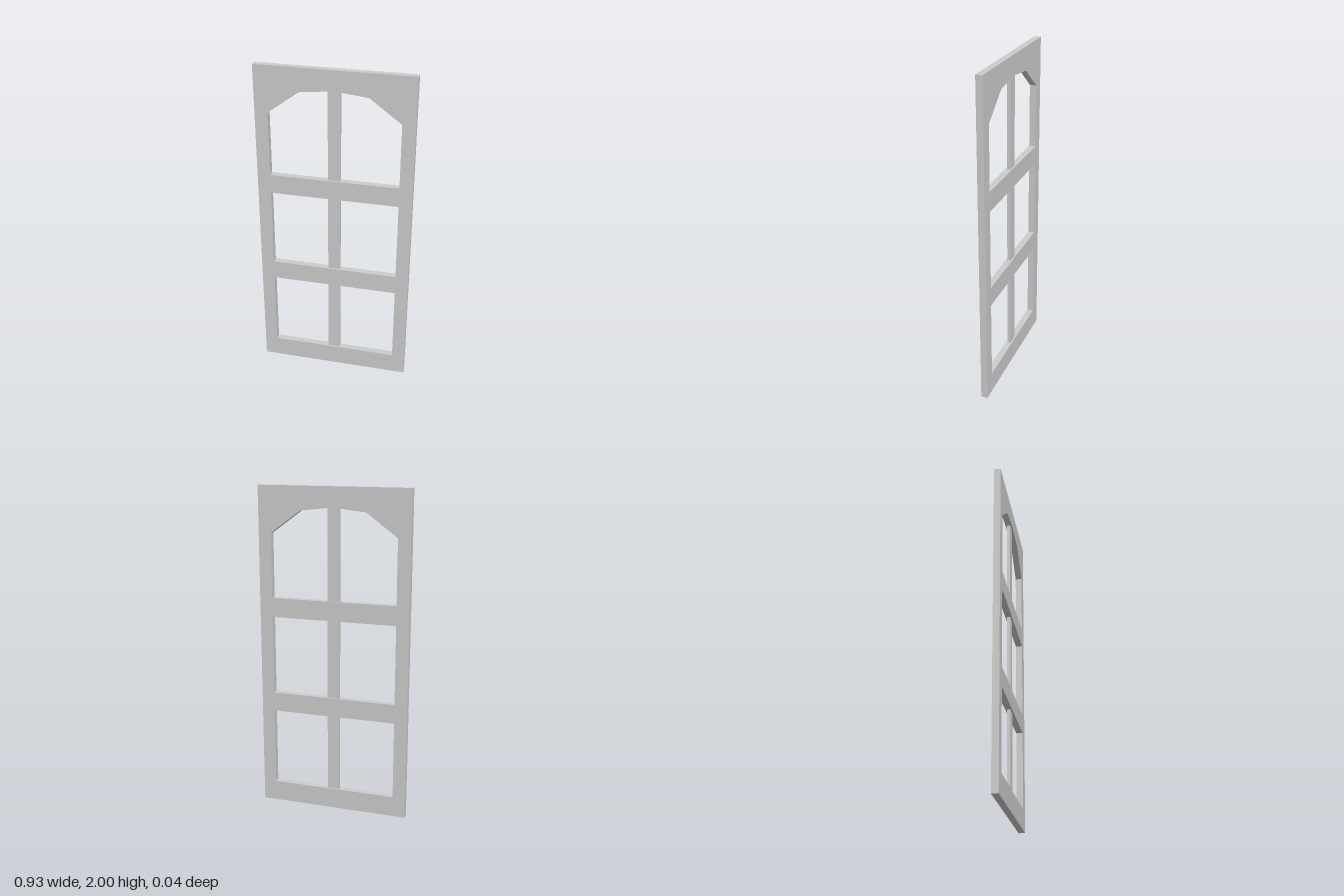
import * as THREE from 'three';

export function createModel() {
  const group = new THREE.Group();
  const material = new THREE.MeshStandardMaterial({ color: 0xcccccc, flatShading: true });
  const depth = 0.04;
  const points = (list) => list.map(([x, y]) => new THREE.Vector2(x, y));

  function add(name, geometry, y = 0) {
    const mesh = new THREE.Mesh(geometry, material);
    mesh.name = name;
    mesh.position.y = y;
    group.add(mesh);
  }

  // Outer frame with a faceted arched opening
  const outline = new THREE.Shape(points([[-0.465, 0], [0.465, 0], [0.465, 2], [-0.465, 2]]));
  outline.holes.push(new THREE.Path(points([
    [-0.387, 0.127], [-0.387, 1.72], [-0.2, 1.858], [0, 1.88],
    [0.2, 1.858], [0.387, 1.72], [0.387, 0.127],
  ])));
  const frame = new THREE.ExtrudeGeometry(outline, { depth, bevelEnabled: false });
  frame.translate(0, 0, -depth / 2);
  add('frame', frame);

  // Horizontal rails, flush with the frame
  for (const [name, y] of [['lowerRail', 0.668], ['upperRail', 1.27]]) {
    add(name, new THREE.BoxGeometry(0.774, 0.118, depth), y);
  }

  // Thinner upright bar, recessed behind the rails; its top follows the arch
  const bar = new THREE.Shape(points([
    [-0.037, 0.127], [0.037, 0.127], [0.037, 1.876], [0, 1.88], [-0.037, 1.876],
  ]));
  const upright = new THREE.ExtrudeGeometry(bar, { depth: 0.02, bevelEnabled: false });
  upright.translate(0, 0, -0.01);
  add('centreBar', upright);

  return group;
}
